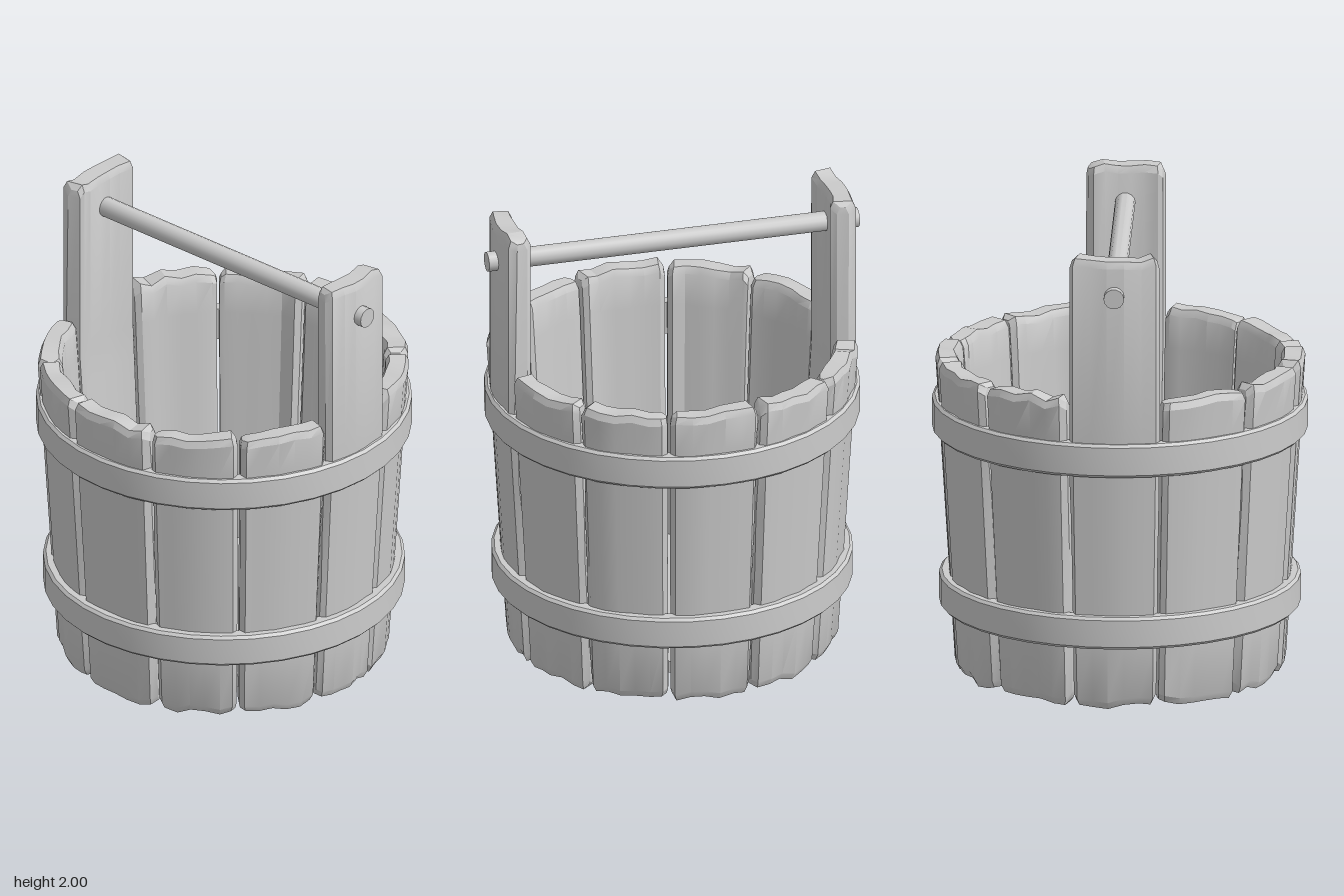
import * as THREE from 'three';
import { toCreasedNormals } from 'three/addons/utils/BufferGeometryUtils.js';

const material = new THREE.MeshStandardMaterial({ color: 0xcccccc });
const RAD = Math.PI / 180;

// small seeded generator for the chipped wood
let seed = 11;
const rand = () => {
  seed = (seed * 16807) % 2147483647;
  return seed / 2147483647;
};

// One stave: closed cross-sections stacked from the bottom to a wavy top
function staveGeometry(a0, a1, top, tall) {
  const cols = [0, 0.07, 0.25, 0.42, 0.6, 0.78, 0.93, 1];
  const n = cols.length;
  const last = n - 1;
  const wave = () => cols.map((t, j) => (j === 0 || j === last ? 0.03 : rand() * 0.026));
  const topDip = wave();
  const bottomDip = wave();
  const bulge = cols.map(() => rand() * 0.01);
  const hollow = cols.map(() => rand() * 0.016);

  const levels = [0, 0.03, 0.28, 0.6, 0.85, 1.05, 1.2, top - 0.03, top];
  const positions = [];
  levels.forEach((y, k) => {
    const isEnd = k === 0 || k === levels.length - 1;
    const bevel = isEnd ? 0.014 : 0;
    const outer = 0.702 + 0.062 * (tall ? Math.min(y, 1.2) : y);
    const nick = [0.004 + rand() * 0.014, 0.004 + rand() * 0.014];
    const ring = (j, isOuter) => {
      const edge = j === 0 || j === last;
      const side = j === 0 ? nick[0] : nick[1];
      const r = isOuter
        ? outer - bulge[j] - bevel - (edge ? 0.016 + side : 0)
        : outer - 0.112 + hollow[j] + bevel + (edge ? 0.014 : 0);
      const inset = (edge ? 0.3 + side * 10 : 0) + (isEnd && j < 2 ? 0.5 : 0);
      const insetEnd = (edge ? 0.3 + side * 10 : 0) + (isEnd && j > last - 2 ? 0.5 : 0);
      let a = a0 + (a1 - a0) * cols[j];
      if (j < 2) a += inset;
      if (j > last - 2) a -= insetEnd;
      let h = y;
      if (k < 2) h += bottomDip[j];
      if (k > levels.length - 3) h -= topDip[j];
      positions.push(r * Math.sin(a * RAD), h, r * Math.cos(a * RAD));
    };
    for (let j = 0; j < n; j++) ring(j, true);
    for (let j = last; j >= 0; j--) ring(j, false);
  });

  const m = 2 * n;
  const index = [];
  const quad = (a, b, c, d) => index.push(a, b, c, a, c, d);
  for (let k = 0; k < levels.length - 1; k++) {
    for (let j = 0; j < m; j++) {
      const next = (j + 1) % m;
      quad(k * m + j, k * m + next, (k + 1) * m + next, (k + 1) * m + j);
    }
  }
  const t = (levels.length - 1) * m;
  for (let j = 0; j < last; j++) {
    quad(t + j, t + j + 1, t + m - 2 - j, t + m - 1 - j);
    quad(m - 1 - j, m - 2 - j, j + 1, j);
  }
  const geometry = new THREE.BufferGeometry();
  geometry.setAttribute('position', new THREE.Float32BufferAttribute(positions, 3));
  geometry.setIndex(index);
  return toCreasedNormals(geometry, 0.45);
}

// Bevelled band around the staves
function hoopGeometry(radius, y0, y1) {
  const inner = radius - 0.06;
  const b = 0.012;
  const profile = [
    [inner, y0], [radius - b, y0], [radius, y0 + b],
    [radius, y1 - b], [radius - b, y1], [inner, y1], [inner, y0],
  ].map(([x, y]) => new THREE.Vector2(x, y));
  return toCreasedNormals(new THREE.LatheGeometry(profile, 36), 0.4);
}

export function createModel() {
  const group = new THREE.Group();
  const add = (name, geometry) => {
    const mesh = new THREE.Mesh(geometry, material);
    mesh.name = name;
    group.add(mesh);
    return mesh;
  };

  // staves, two of them tall to carry the handle
  const seams = [-4.5, 27, 56, 85.5, 112.5, 143, 172.5, 202.5, 233, 264, 294.5, 325.5];
  seams.forEach((a, i) => {
    const end = i + 1 < seams.length ? seams[i + 1] : seams[0] + 360;
    const tall = i === 3 || i === 9;
    add(tall ? 'handleStave' : 'stave', staveGeometry(a, end, tall ? 2 : 1.38, tall));
  });

  // hoops
  add('upperHoop', hoopGeometry(0.792, 1.04, 1.185));
  add('lowerHoop', hoopGeometry(0.762, 0.28, 0.42));

  // floor
  add('floor', new THREE.CylinderGeometry(0.63, 0.63, 0.05, 36)).position.y = 0.135;

  // handle rod through the tall staves
  const rod = add('handleRod', toCreasedNormals(new THREE.CylinderGeometry(0.043, 0.043, 1.62, 14), 0.6));
  rod.rotation.set(0, 9.2 * RAD, Math.PI / 2);
  rod.rotation.order = 'YXZ';
  rod.position.y = 1.83;

  return group;
}
